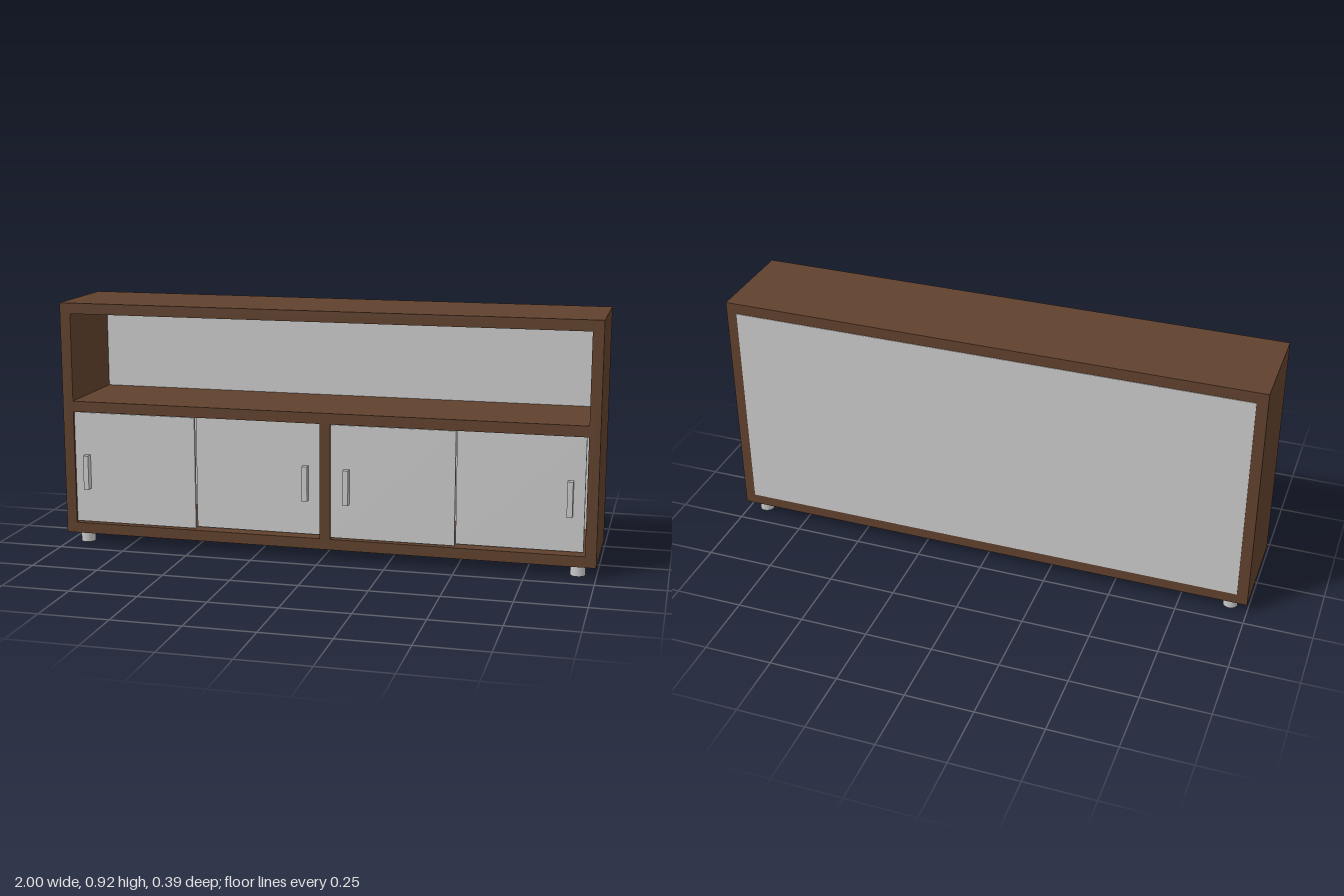
import * as THREE from 'three';

export function createModel() {
  const model = new THREE.Group();
  model.name = 'sideboard';
  const wood = new THREE.MeshStandardMaterial({ color: 0x5f402c });
  wood.name = 'brown wood';
  const grey = new THREE.MeshStandardMaterial({ color: 0xc8c8c8 });
  grey.name = 'light grey';

  // Box given by its extents on each axis
  const box = (name, material, [x0, x1], [y0, y1], [z0, z1]) => {
    const mesh = new THREE.Mesh(new THREE.BoxGeometry(x1 - x0, y1 - y0, z1 - z0), material);
    mesh.position.set((x0 + x1) / 2, (y0 + y1) / 2, (z0 + z1) / 2);
    mesh.name = name;
    model.add(mesh);
  };

  // Carcass
  const depth = [-0.195, 0.18];
  const inner = [-0.96, 0.96];
  box('topPanel', wood, inner, [0.88, 0.92], depth);
  box('bottomPanel', wood, inner, [0.04, 0.08], depth);
  box('leftSide', wood, [0.96, 1], [0.04, 0.92], depth);
  box('rightSide', wood, [-1, -0.96], [0.04, 0.92], depth);
  box('shelf', wood, inner, [0.51, 0.55], [-0.181, 0.18]);
  box('divider', wood, [-0.005, 0.035], [0.08, 0.51], [-0.181, 0.18]);
  box('backPanel', grey, inner, [0.08, 0.88], [-0.197, -0.181]);

  // Sliding doors on a front and a rear track, each with a bar handle
  const doors = [
    { x: [-0.96, -0.485], face: 0.171, handle: -0.91 },
    { x: [-0.487, -0.012], face: 0.145, handle: -0.065 },
    { x: [0.035, 0.493], face: 0.171, handle: 0.095 },
    { x: [0.493, 0.951], face: 0.145, handle: 0.9 },
  ];
  for (const { x, face, handle } of doors) {
    box('slidingDoor', grey, x, [0.085, 0.507], [face - 0.011, face]);
    box('doorHandle', grey, [handle - 0.01, handle + 0.01], [0.215, 0.345], [face, face + 0.026]);
  }

  // Short round feet
  const footGeometry = new THREE.CylinderGeometry(0.027, 0.027, 0.04, 32);
  for (const x of [-0.933, 0.933]) {
    for (const z of [-0.153, 0.136]) {
      const foot = new THREE.Mesh(footGeometry, grey);
      foot.position.set(x, 0.02, z);
      foot.name = 'foot';
      model.add(foot);
    }
  }
  return model;
}
